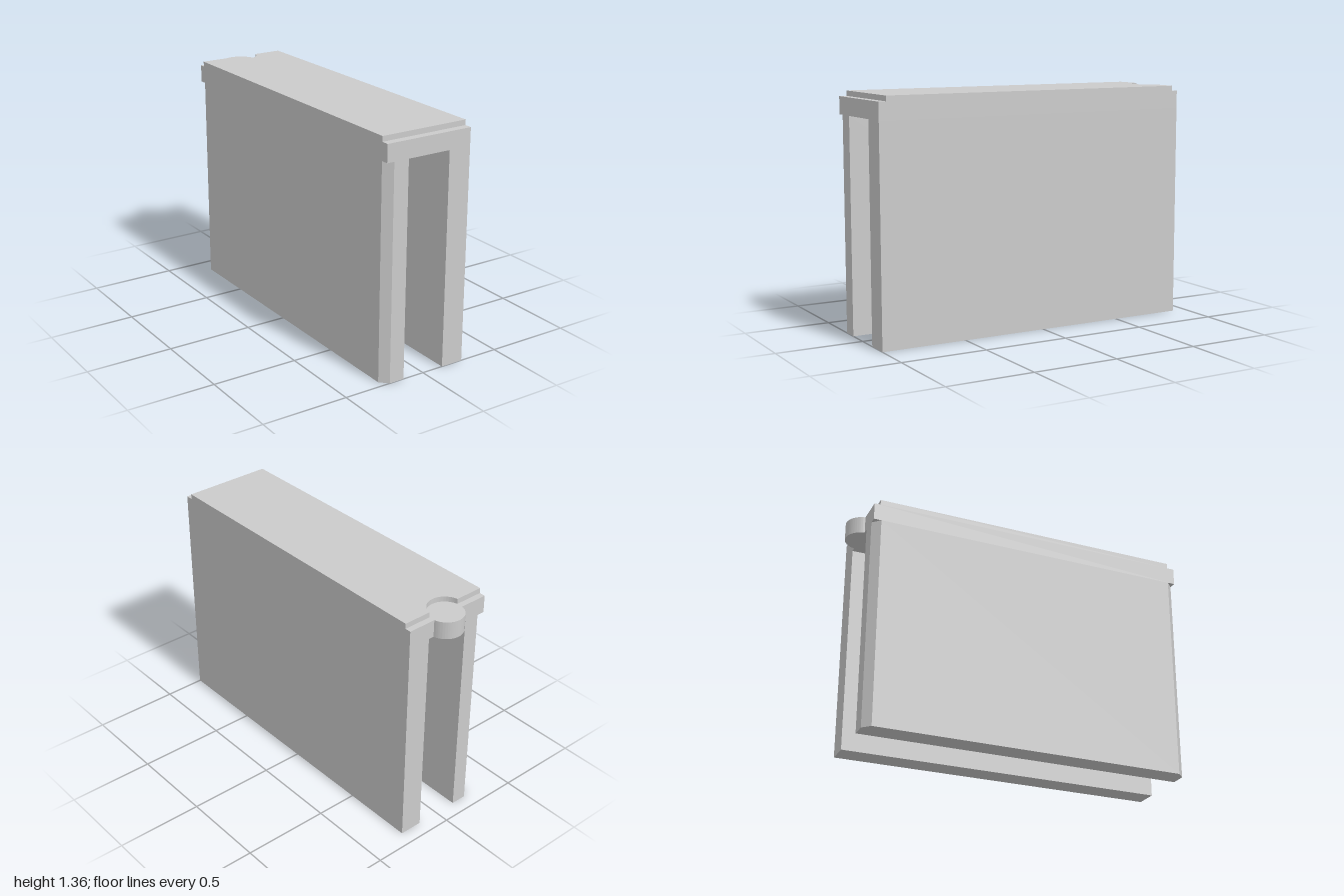
import * as THREE from 'three';
import { toCreasedNormals } from 'three/addons/utils/BufferGeometryUtils.js';

const HALF = 0.264;   // half of the overall width
const INNER = 0.13;   // half of the gap between the walls
const FRONT = 1, BACK = -0.918;
const WALL_TOP = 1.23, SLAB_TOP = 1.33, TOP = 1.36;
const KNOB_Z = -0.9, KNOB_R = 0.1;

export function createModel() {
  const group = new THREE.Group();
  const material = new THREE.MeshStandardMaterial({ color: 0xcccccc });

  // Raises a footprint (drawn with y = -z) from one height to another
  function raise(name, shape, bottom, top) {
    const geometry = new THREE.ExtrudeGeometry(shape, {
      depth: top - bottom, bevelEnabled: false, curveSegments: 40,
    });
    geometry.rotateX(-Math.PI / 2);
    geometry.translate(0, bottom, 0);
    const mesh = new THREE.Mesh(toCreasedNormals(geometry, 0.5), material);
    mesh.name = name;
    group.add(mesh);
  }

  // Full-width footprint whose back edge has a round tab or a round notch
  function deckShape(front, back, notched) {
    const angle = Math.asin((KNOB_Z - back) / KNOB_R);
    const shape = new THREE.Shape();
    shape.moveTo(-HALF, -front);
    shape.lineTo(HALF, -front);
    shape.lineTo(HALF, -back);
    shape.absarc(0, -KNOB_Z, KNOB_R, angle, Math.PI - angle, notched);
    shape.lineTo(-HALF, -back);
    shape.closePath();
    return shape;
  }

  // Wall footprint, with its two outer corners cut off by c
  function wallShape(side, c) {
    const points = [
      [INNER, -FRONT], [HALF - c, -FRONT], [HALF, -FRONT + c],
      [HALF, -BACK - c], [HALF - c, -BACK], [INNER, -BACK],
    ].filter((p, i) => c > 0 || (i !== 2 && i !== 3));
    return new THREE.Shape(points.map(([x, y]) => new THREE.Vector2(side * x, y)));
  }

  // Side walls: one square, one with chamfered outer corners
  raise('leftWall', wallShape(1, 0), 0, WALL_TOP);
  raise('rightWall', wallShape(-1, 0.044), 0, WALL_TOP);

  // Slab bridging the walls, with the round tab at the back
  raise('slabWithTab', deckShape(FRONT, BACK, false), WALL_TOP, SLAB_TOP);

  // Thin raised plate, stepped in at both ends and notched around the tab
  raise('topPlate', deckShape(0.957, -0.883, true), SLAB_TOP, TOP);

  return group;
}
